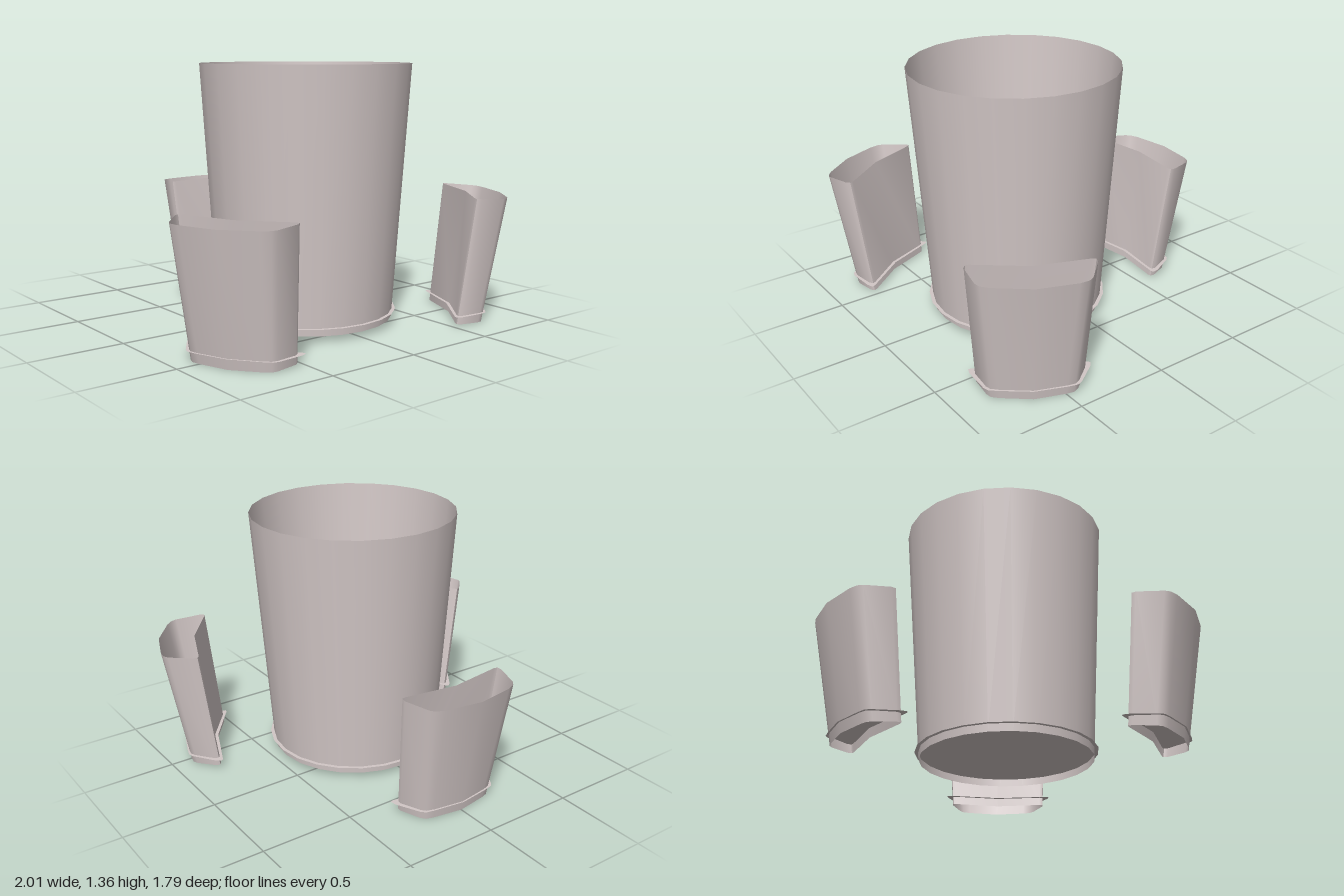
import * as THREE from 'three';
import { toCreasedNormals } from 'three/addons/utils/BufferGeometryUtils.js';

const AXIS_Z = 0.175; // the cup's axis, which the pockets ring

// Half outlines [x, z] of a pocket, from inner fold round to outer fold
const BOTTOM = [[0, -0.62], [0.245, -0.585], [0.262, -0.588], [0.265, -0.61],
  [0.22, -0.715], [0.2, -0.738], [0.16, -0.75], [0, -0.775]];
const RIM = [[0, -0.7], [0.285, -0.66], [0.303, -0.665], [0.307, -0.69],
  [0.265, -0.82], [0.245, -0.845], [0.2, -0.863], [0, -0.893]];
const FLOOR = [[0, -0.608], [0.285, -0.57], [0.3, -0.577], [0.295, -0.61],
  [0.235, -0.735], [0.215, -0.757], [0.17, -0.768], [0, -0.793]];

// Mirror a half outline into a closed loop, relative to the cup's axis
function loop(half) {
  const mirrored = half.slice(1, -1).reverse().map(([x, z]) => [-x, z]);
  return [...half, ...mirrored].map(([x, z]) => [x, z - AXIS_Z]);
}

// Flared wall between two outlines; both edges slope slightly outward and down
function pocketWall() {
  const low = loop(BOTTOM), high = loop(RIM), n = low.length;
  const pos = [], index = [];
  low.forEach(([x, z]) => pos.push(x, THREE.MathUtils.mapLinear(z, -0.95, -0.755, 0, 0.01), z));
  high.forEach(([x, z]) => pos.push(x, THREE.MathUtils.mapLinear(z, -1.068, -0.835, 0.662, 0.675), z));
  for (let i = 0; i < n; i++) {
    const j = (i + 1) % n;
    index.push(i, i + n, j, j, i + n, j + n);
  }
  const g = new THREE.BufferGeometry();
  g.setAttribute('position', new THREE.Float32BufferAttribute(pos, 3));
  g.setIndex(index);
  return toCreasedNormals(g, 0.75);
}

// Flat floor plate, a little wider than the wall
function pocketFloor() {
  const shape = new THREE.Shape(loop(FLOOR).map(([x, z]) => new THREE.Vector2(x, -z)));
  return new THREE.ShapeGeometry(shape).rotateX(-Math.PI / 2).translate(0, 0.055, 0);
}

export function createModel() {
  const model = new THREE.Group();
  const plastic = new THREE.MeshStandardMaterial({ color: 0xd2c7c6, side: THREE.DoubleSide });
  plastic.name = 'warm grey';

  const add = (parent, name, geometry) => {
    const mesh = new THREE.Mesh(geometry, plastic);
    mesh.name = name;
    parent.add(mesh);
    return mesh;
  };

  // Open tapered cup with a recessed floor disc
  const cup = new THREE.Group();
  cup.name = 'cup';
  cup.position.z = AXIS_Z;
  add(cup, 'cupWall', new THREE.CylinderGeometry(0.55, 0.46, 1.33, 24, 1, true).translate(0, 0.695, 0));
  add(cup, 'cupFloor', new THREE.CircleGeometry(0.482, 24).rotateX(-Math.PI / 2).translate(0, 0.07, 0));
  model.add(cup);

  // Three outward-leaning pockets around the cup
  const wall = pocketWall(), floor = pocketFloor();
  ['backPocket', 'rightPocket', 'leftPocket'].forEach((name, i) => {
    const pocket = new THREE.Group();
    pocket.name = name;
    pocket.position.z = AXIS_Z;
    pocket.rotation.y = i * Math.PI * 2 / 3;
    add(pocket, 'pocketWall', wall);
    add(pocket, 'pocketFloor', floor);
    model.add(pocket);
  });

  return model;
}
